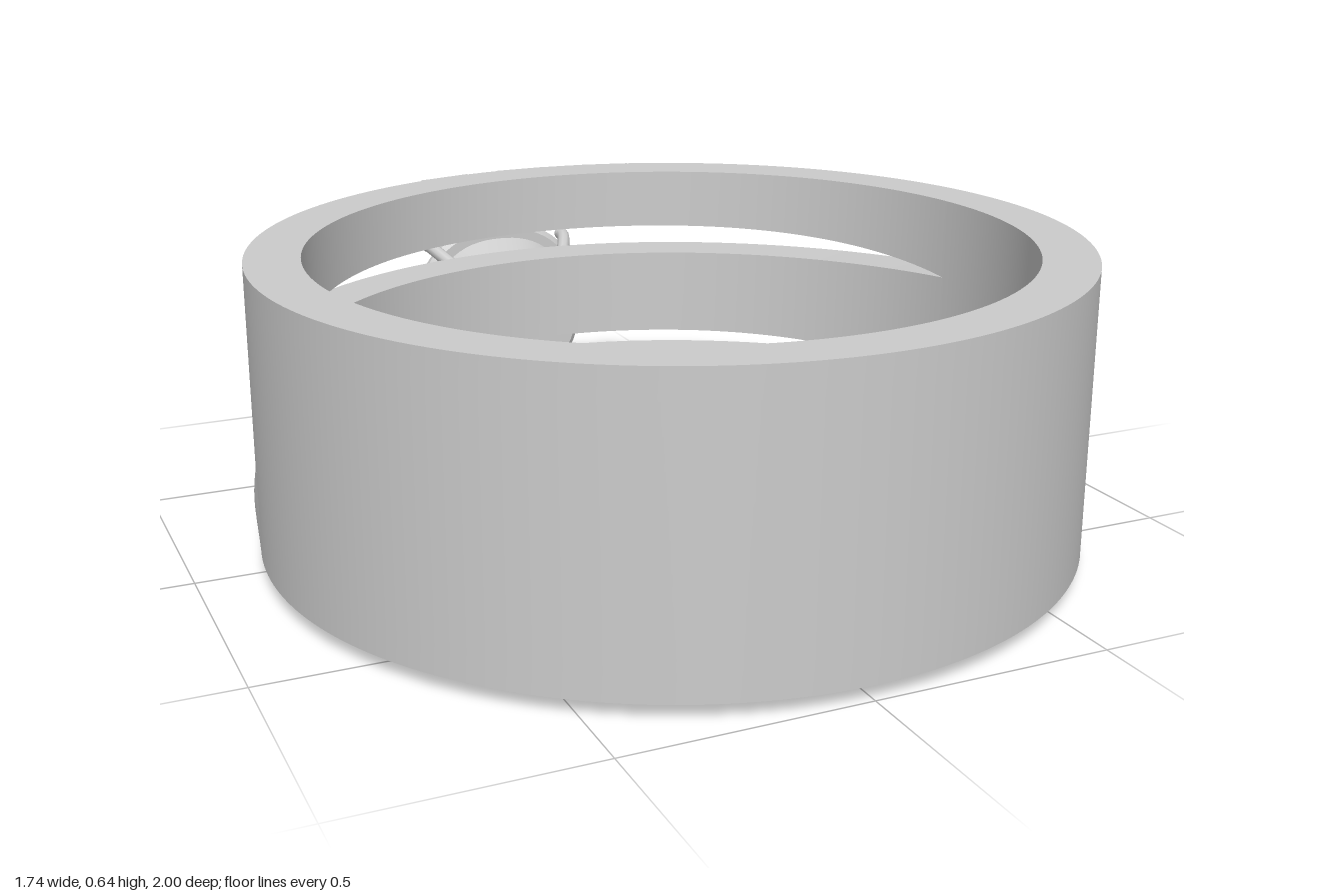
import * as THREE from 'three';
import { toCreasedNormals } from 'three/addons/utils/BufferGeometryUtils.js';

const CZ = 0.13, R_OUT = 0.87, R_IN = 0.755;
const PHI_TIP = Math.acos(CZ / R_OUT); // where the slots begin
const metal = new THREE.MeshStandardMaterial({ color: 0xcccccc });
const facet = new THREE.MeshStandardMaterial({ color: 0xcccccc, flatShading: true });

function add(parent, name, geometry, material = metal) {
  const mesh = new THREE.Mesh(geometry, material);
  mesh.name = name;
  parent.add(mesh);
  return mesh;
}

// Sweep a band section around y; phi = 0 is the back, edges and bulge vary with phi
function sweep(phi0, phi1, low, high, bulge) {
  const n = 128, k = 10, m = k + 3, pos = [], idx = [];
  for (let i = 0; i <= n; i++) {
    const phi = phi0 + (phi1 - phi0) * i / n;
    const a = low(phi), b = high(phi), section = [];
    for (let j = 0; j <= k; j++) {
      section.push([R_OUT + bulge(phi) * Math.sin(Math.PI * j / k), a + (b - a) * j / k]);
    }
    section.push([R_IN, b], [R_IN, a]);
    for (const [r, y] of section) pos.push(r * Math.sin(phi), y, CZ - r * Math.cos(phi));
    if (i === n) continue;
    for (let j = 0; j < m; j++) {
      const p = i * m + j, q = i * m + (j + 1) % m;
      idx.push(p, q, p + m, q, q + m, p + m);
    }
  }
  const g = new THREE.BufferGeometry();
  g.setAttribute('position', new THREE.Float32BufferAttribute(pos, 3));
  g.setIndex(idx);
  return toCreasedNormals(g, 0.6);
}

// Rounded-square factor applied to a circle's radius
function cushion(angle) {
  const e = 2.3;
  return (Math.abs(Math.cos(angle)) ** e + Math.abs(Math.sin(angle)) ** e) ** (-1 / e);
}

function cushionLathe(points) {
  const g = new THREE.LatheGeometry(points.map(p => new THREE.Vector2(...p)), 64);
  const p = g.attributes.position;
  for (let i = 0; i < p.count; i++) {
    const x = p.getX(i), z = p.getZ(i), f = cushion(Math.atan2(z, x));
    p.setX(i, x * f);
    p.setZ(i, z * f);
  }
  return toCreasedNormals(g, 0.5);
}

// Faceted stone: table, crown and pavilion, pointing along +y
function stone(r, h, sides) {
  const profile = [[0, -h], [r, 0], [r * 0.82, h * 0.5], [r * 0.48, h * 0.9], [0, h]];
  return new THREE.LatheGeometry(profile.map(p => new THREE.Vector2(...p)), sides);
}

function createBand() {
  const band = new THREE.Group();
  band.name = 'band';
  const open = phi => {
    const t = Math.min(1, Math.max(0, (R_OUT * Math.cos(phi) - CZ) / (R_OUT - CZ)));
    return 1 - (1 - t) ** 2;
  };
  const edge = (tip, back) => phi => tip + (back - tip) * open(phi);
  const flat = () => 0;
  const dome = phi => 0.018 * Math.min(1, open(phi) * 2);
  const bottom = () => 0.035, top = () => 0.645;
  add(band, 'bandFront', sweep(PHI_TIP, 2 * Math.PI - PHI_TIP, bottom, top, flat));
  add(band, 'lowerStrand', sweep(-PHI_TIP, PHI_TIP, bottom, edge(0.22, 0.178), dome));
  add(band, 'middleStrand', sweep(-PHI_TIP, PHI_TIP, edge(0.22, 0.24), edge(0.465, 0.44), flat));
  add(band, 'upperStrand', sweep(-PHI_TIP, PHI_TIP, edge(0.465, 0.51), top, flat));
  return band;
}

// Square frame with a small round stone
function createAccent(phi) {
  const accent = new THREE.Group();
  accent.name = 'accentSetting';
  const square = (Shape, w, h) => new Shape([[-w, -h], [w, -h], [w, h], [-w, h]]
    .map(p => new THREE.Vector2(...p)));
  const shape = square(THREE.Shape, 0.065, 0.062);
  shape.holes.push(square(THREE.Path, 0.047, 0.047));
  add(accent, 'accentFrame', new THREE.ExtrudeGeometry(shape, { depth: 0.06, bevelEnabled: false }));
  const gem = add(accent, 'accentStone', stone(0.043, 0.03, 10), facet);
  gem.rotation.x = Math.PI / 2;
  gem.position.z = 0.048;
  const r = 0.835;
  accent.position.set(r * Math.sin(phi), 0.578, CZ - r * Math.cos(phi));
  accent.rotation.y = Math.PI - phi;
  return accent;
}

// Main setting, built along +y and then turned to face the back
function createHead() {
  const head = new THREE.Group();
  head.name = 'mainSetting';
  add(head, 'basket', cushionLathe([[0, 0.735], [0.1, 0.735], [0.105, 0.765], [0.195, 0.945], [0, 0.945]]));
  add(head, 'halo', cushionLathe([[0, 0.94], [0.216, 0.94], [0.228, 0.95], [0.228, 0.963],
    [0.218, 0.968], [0.16, 0.962], [0, 0.962]]));
  add(head, 'centreStone', stone(0.147, 0.045, 12), facet).position.y = 0.955;

  const count = 16;
  for (let i = 0; i < count; i++) {
    const place = (name, geometry, material, a, r, y) => {
      const f = r * cushion(a);
      add(head, name, geometry, material).position.set(f * Math.cos(a), y, f * Math.sin(a));
    };
    const a = 2 * Math.PI * i / count, half = Math.PI / count;
    place('haloStone', stone(0.031, 0.02, 8), facet, a, 0.185, 0.964);
    place('haloBead', new THREE.SphereGeometry(0.011, 10, 8), metal, a + half, 0.21, 0.968);
    place('haloBead', new THREE.SphereGeometry(0.01, 10, 8), metal, a + half, 0.158, 0.966);
  }

  // Four corner prongs
  for (let i = 0; i < 4; i++) {
    const prong = new THREE.Group();
    prong.name = 'prong';
    const path = new THREE.CatmullRomCurve3([[0.125, 0.745], [0.155, 0.785], [0.21, 0.87],
      [0.254, 0.94], [0.26, 0.968]].map(([r, y]) => new THREE.Vector3(r, y, 0)));
    add(prong, 'prongWire', new THREE.TubeGeometry(path, 24, 0.016, 10));
    add(prong, 'prongTip', new THREE.SphereGeometry(0.017, 12, 10)).position.set(0.259, 0.968, 0);
    add(prong, 'prongFoot', new THREE.SphereGeometry(0.016, 12, 10)).position.set(0.125, 0.745, 0);
    prong.rotation.y = Math.PI / 4 + i * Math.PI / 2;
    head.add(prong);
  }
  head.rotation.x = -Math.PI / 2;
  head.position.y = 0.232;
  return head;
}

export function createModel() {
  const model = new THREE.Group();
  model.name = 'ring';
  model.add(createBand(), createHead());
  for (const phi of [-0.235, 0, 0.235]) model.add(createAccent(phi));
  return model;
}
